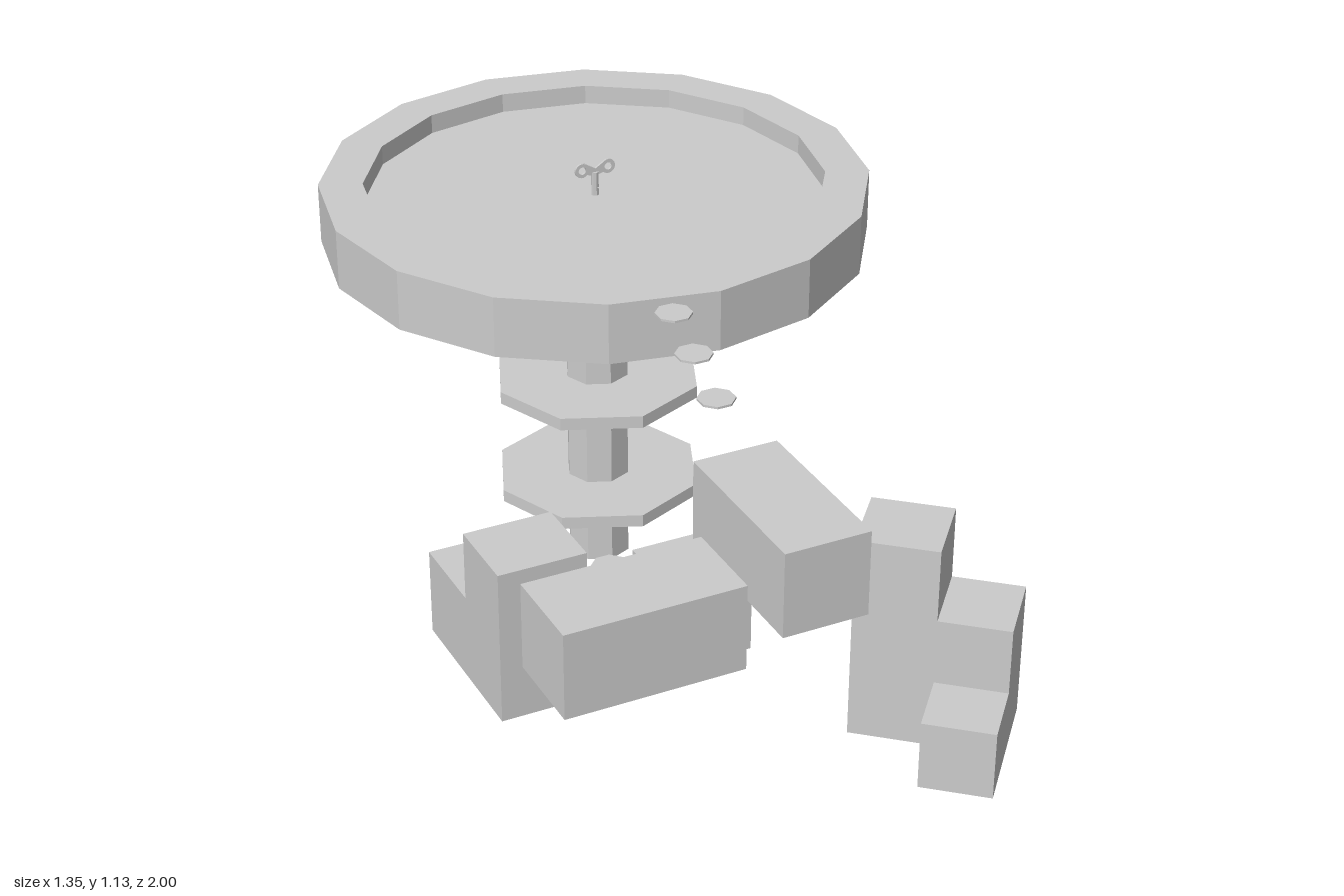
import * as THREE from 'three';

const material = (color = 0xcccccc) =>
  new THREE.MeshStandardMaterial({ color, flatShading: true, side: THREE.DoubleSide });
const grey = material();
const pale = material(0xe4e4e4);

function add(parent, name, geometry, x = 0, y = 0, z = 0, mat = grey) {
  const mesh = new THREE.Mesh(geometry, mat);
  mesh.name = name;
  mesh.position.set(x, y, z);
  parent.add(mesh);
  return mesh;
}

// Box given by its min and max on each axis
function block(parent, name, [x0, x1], [y0, y1], [z0, z1]) {
  return add(parent, name, new THREE.BoxGeometry(x1 - x0, y1 - y0, z1 - z0),
    (x0 + x1) / 2, (y0 + y1) / 2, (z0 + z1) / 2);
}

// Eight-sided drum between two heights
function drum(parent, name, radius, y0, y1) {
  return add(parent, name, new THREE.CylinderGeometry(radius, radius, y1 - y0, 8), 0, (y0 + y1) / 2, 0);
}

// Flat leaf-shaped clock hand, pointing along +x before it is turned
function hand(parent, name, length, width, y, angle) {
  const half = width / 2;
  const s = new THREE.Shape();
  s.moveTo(0, 0.006);
  s.lineTo(length * 0.6, half);
  s.quadraticCurveTo(length * 0.85, half * 0.9, length, 0);
  s.quadraticCurveTo(length * 0.85, -half * 0.9, length * 0.6, -half);
  s.lineTo(0, -0.006);
  const geometry = new THREE.ShapeGeometry(s, 4).rotateX(-Math.PI / 2);
  add(parent, name, geometry, 0, y, 0).rotation.y = angle;
}

function clockTower() {
  const tower = new THREE.Group();
  tower.name = 'clockTower';
  tower.position.set(0.037, 0, -0.38);

  // Pillar with its collar plates and capital
  drum(tower, 'pillar', 0.075, 0.12, 0.83);
  drum(tower, 'lowerPlate', 0.245, 0.305, 0.335);
  drum(tower, 'upperPlate', 0.245, 0.568, 0.598);
  drum(tower, 'capital', 0.138, 0.828, 0.92);

  // Round platform with a raised rim
  const profile = [[0, 0.95], [0.62, 0.95], [0.62, 1.09], [0.52, 1.09], [0.52, 1.045], [0, 1.045]]
    .map(([x, y]) => new THREE.Vector2(x, y));
  add(tower, 'clockPlatform', new THREE.LatheGeometry(profile, 16));
  add(tower, 'dialCentre', new THREE.CircleGeometry(0.26, 16).rotateX(-Math.PI / 2), 0, 1.049, 0, pale);
  hand(tower, 'longHand', 0.43, 0.085, 1.062, 0.75);
  hand(tower, 'shortHand', 0.37, 0.095, 1.068, -0.65);

  // Winding key: stem and two ringed wings
  add(tower, 'keyStem', new THREE.CylinderGeometry(0.009, 0.009, 0.065, 8), 0, 1.0725, 0);
  const key = new THREE.Shape();
  key.absarc(0.032, 0, 0.017, -Math.PI * 0.75, Math.PI * 0.75, false);
  key.lineTo(0, 0);
  key.absarc(-0.032, 0, 0.017, Math.PI * 0.25, Math.PI * 1.75, false);
  key.lineTo(0, -0.018);
  for (const x of [-0.032, 0.032]) {
    const hole = new THREE.Path();
    hole.absarc(x, 0, 0.009, 0, Math.PI * 2, true);
    key.holes.push(hole);
  }
  const keyGeometry = new THREE.ExtrudeGeometry(key, { depth: 0.005, bevelEnabled: false, curveSegments: 8 });
  add(tower, 'windingKey', keyGeometry, 0, 1.113, -0.0025);
  return tower;
}

// Three descending steps that turn a corner, set askew on the ground
function cornerStairs() {
  const stairs = new THREE.Group();
  stairs.name = 'cornerStairs';
  stairs.position.set(0.402, 0, 0.275);
  stairs.rotation.y = -0.712;
  block(stairs, 'topStep', [0, 0.19], [0, 0.51], [0, 0.188]);
  block(stairs, 'middleStep', [0.19, 0.357], [0, 0.332], [0, 0.188]);
  block(stairs, 'bottomStep', [0.19, 0.357], [0, 0.17], [0.188, 0.349]);
  return stairs;
}

export function createModel() {
  const model = new THREE.Group();
  model.name = 'floatingClockCourse';
  model.add(clockTower(), cornerStairs());

  // Floating blocks
  block(model, 'floatingCube', [-0.217, -0.03], [0.387, 0.578], [0.337, 0.525]);
  block(model, 'lowStep', [-0.675, -0.487], [0.51, 0.7], [0.337, 0.527]);
  block(model, 'highStep', [-0.675, -0.487], [0.51, 0.85], [0.527, 0.697]);
  block(model, 'sideBlock', [-0.675, -0.295], [0.708, 0.896], [0.807, 1]);
  block(model, 'frontBlock', [-0.217, -0.03], [0.755, 0.944], [0.618, 1]);

  // Thin stepping discs between the blocks
  const discs = [
    [0.175, 0.515, 0.418], [0.058, 0.572, 0.418], [-0.307, 0.61, 0.418], [-0.423, 0.653, 0.418],
    [-0.127, 1.025, 0.54], [-0.116, 1.064, 0.418], [-0.096, 1.09, 0.286],
  ];
  const discGeometry = new THREE.CylinderGeometry(0.04, 0.04, 0.005, 8).rotateY(Math.PI / 8);
  for (const [x, y, z] of discs) add(model, 'steppingDisc', discGeometry, x, y, z);
  return model;
}
